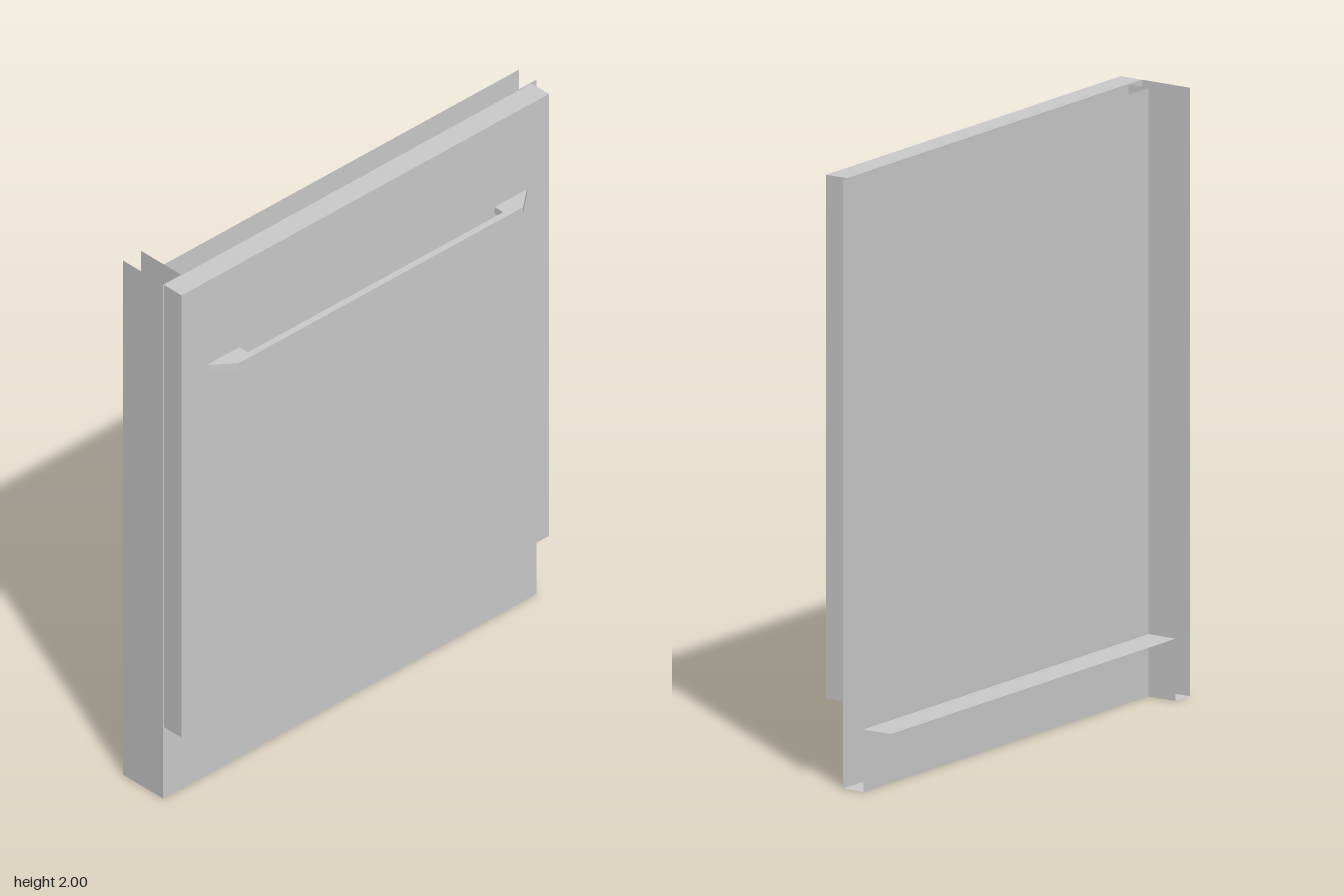
import * as THREE from 'three';

const material = new THREE.MeshStandardMaterial({ color: 0xcccccc });
const sheetMaterial = new THREE.MeshStandardMaterial({ color: 0xcccccc, side: THREE.DoubleSide });

// Main dimensions
const LEFT = 0.826, RIGHT = -0.826, INNER = -0.747;
const FRONT = 0.018, MIDDLE = -0.061, BACK = -0.167;
const HEIGHT = 2, SHELF = 0.205;
const DOOR_LEFT = 0.8, DOOR_BOTTOM = 0.28, DOOR_BACK = 0.022, DOOR_FRONT = 0.103;

// Thin sheets, each perpendicular to one axis
function sheet(name, width, height) {
  const mesh = new THREE.Mesh(new THREE.PlaneGeometry(width, height), sheetMaterial);
  mesh.name = name;
  return mesh;
}

function facingSheet(name, x0, x1, z) {
  const mesh = sheet(name, x1 - x0, HEIGHT);
  mesh.position.set((x0 + x1) / 2, HEIGHT / 2, z);
  return mesh;
}

function sideSheet(name, x) {
  const mesh = sheet(name, FRONT - BACK, HEIGHT);
  mesh.rotation.y = -Math.PI / 2;
  mesh.position.set(x, HEIGHT / 2, (FRONT + BACK) / 2);
  return mesh;
}

function flatSheet(name, x0, x1, y, z0, z1) {
  const mesh = sheet(name, x1 - x0, z1 - z0);
  mesh.rotation.x = -Math.PI / 2;
  mesh.position.set((x0 + x1) / 2, y, (z0 + z1) / 2);
  return mesh;
}

// Closed door slab
function createDoor() {
  const door = new THREE.Mesh(
    new THREE.BoxGeometry(DOOR_LEFT - RIGHT, HEIGHT - DOOR_BOTTOM, DOOR_FRONT - DOOR_BACK), material);
  door.position.set((DOOR_LEFT + RIGHT) / 2, (HEIGHT + DOOR_BOTTOM) / 2, (DOOR_FRONT + DOOR_BACK) / 2);
  door.name = 'door';
  return door;
}

// Bar handle with bevelled ends, drawn in plan and extruded upwards
function createHandle() {
  const half = [[0.708, DOOR_FRONT], [0.63, 0.167], [0.565, 0.143], [0.565, DOOR_FRONT]];
  const [root, tip, inner, foot] = half;
  const mirror = ([x, z]) => [-x, z];
  const outline = [root, tip, mirror(tip), mirror(root), mirror(foot), mirror(inner), inner, foot];
  const shape = new THREE.Shape(outline.map(([x, z]) => new THREE.Vector2(x, -z)));
  const geometry = new THREE.ExtrudeGeometry(shape, { depth: 0.025, bevelEnabled: false });
  geometry.rotateX(-Math.PI / 2);
  const handle = new THREE.Mesh(geometry, material);
  handle.position.set(-0.006, 1.651, 0);
  handle.name = 'handle';
  return handle;
}

export function createModel() {
  const model = new THREE.Group();
  model.name = 'appliancePanel';

  // Open-topped frame of sheets behind the door
  const frame = new THREE.Group();
  frame.name = 'frame';
  frame.add(
    facingSheet('frontSheet', INNER, LEFT, FRONT),
    facingSheet('frontEndStrip', RIGHT, INNER, FRONT),
    facingSheet('backSheet', INNER, LEFT, MIDDLE),
    sideSheet('outerSide', RIGHT),
    sideSheet('innerSide', INNER),
    flatSheet('floor', INNER, LEFT, 0, MIDDLE, FRONT),
    flatSheet('endFloor', RIGHT, INNER, 0, BACK, FRONT),
    flatSheet('rearShelf', INNER, LEFT, SHELF, BACK, MIDDLE)
  );

  model.add(frame, createDoor(), createHandle());
  return model;
}
